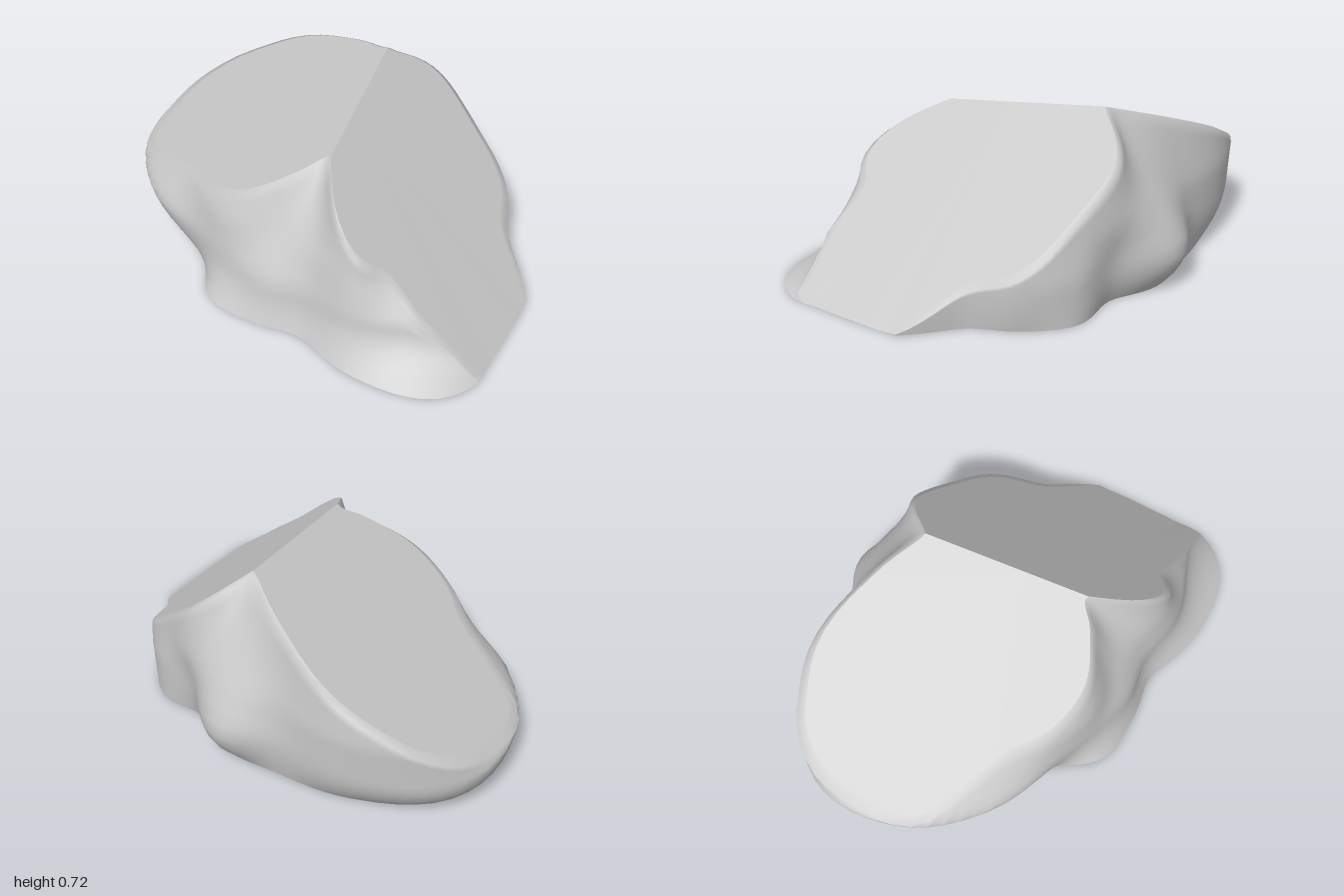
import * as THREE from 'three';

const STEP = 6;            // columns between two given radii
const COLUMNS = 18 * STEP;
const RINGS = 14;
const FRONT_RIDGE = 3 * STEP, BACK_RIDGE = 12 * STEP;
const CX = 0.104;          // the vertical axis passes through the ridge

// the two cleaved planes; the model's right is -x
const rightPlane = (x, z) => 0.635 + 0.373 * x - 0.349 * z;
const leftPlane = (x, z) => 0.757 - 0.8 * x + 0.328 * z;

// radius of the uncut boulder every 20 degrees, turning from +x towards +z
const LEVELS = [
  { y: 0, r: [.88, .92, .76, .59, .61, .66, .62, .71, .95, .985, .85, .71, .65, .56, .64, .63, .63, .8] },
  { y: .19, r: [.88, .74, .65, .54, .56, .585, .66, .85, 1.03, 1.104, .94, .74, .75, .6, .64, .65, .64, .82] },
  { y: .35, r: [.88, .61, .6, .48, .46, .55, .61, .66, .79, 1.08, .95, .72, .67, .62, .61, .64, .64, .82] },
  { y: .6, r: [.8, .58, .55, .3, .33, .42, .46, .5, .74, 1, .91, .63, .51, .58, .58, .61, .63, .8] },
];

// smooth closed curve through the radii of one level
function levelRadius(r, column) {
  const k = Math.floor(column / STEP), f = column / STEP - k;
  const [a, b, c, d] = [-1, 0, 1, 2].map((o) => r[(k + o + r.length) % r.length]);
  return b + f / 2 * (c - a + f * (2 * a - 5 * b + 4 * c - d + f * (3 * (b - c) + d - a)));
}

function radius(column, y) {
  const k = y < LEVELS[1].y ? 0 : y < LEVELS[2].y ? 1 : 2;
  const low = LEVELS[k], high = LEVELS[k + 1];
  const f = (y - low.y) / (high.y - low.y);
  // the foot curves quickly into the belly
  const eased = k === 0 ? f * (2 - f) : f;
  return THREE.MathUtils.lerp(levelRadius(low.r, column), levelRadius(high.r, column), eased);
}

function point(column, r, y) {
  const t = column / COLUMNS * Math.PI * 2;
  return [CX + r * Math.cos(t), y, r * Math.sin(t)];
}

const peak = [CX, rightPlane(CX, 0), 0];
const cutHeight = ([x, , z]) => Math.min(leftPlane(x, z), rightPlane(x, z));

// one column of the flank, rising until it meets a cleaved plane
function flankColumn(i) {
  let low = 0, high = 0.8;
  for (let n = 0; n < 30; n++) {
    const mid = (low + high) / 2;
    if (cutHeight(point(i, radius(i, mid), mid)) > mid) low = mid;
    else high = mid;
  }
  // where the plane reaches the ground first, pull the edge in to it
  let shrink = 1;
  while (cutHeight(point(i, radius(i, 0) * shrink, 0)) < 0) shrink -= 0.005;
  const column = Array.from({ length: RINGS }, (_, j) => {
    const y = low * 0.975 * j / (RINGS - 1);
    return point(i, radius(i, y) * shrink, y);
  });
  // worn edge: the last point lies a little way in on the cleaved plane
  const edge = point(i, radius(i, low) * shrink, low);
  column.push(edge.map((v, k) => THREE.MathUtils.lerp(v, peak[k], 0.04)));
  return column;
}

function geometry(positions, index) {
  const g = new THREE.BufferGeometry();
  g.setAttribute('position', new THREE.Float32BufferAttribute(positions, 3));
  g.setIndex(index);
  g.computeVertexNormals();
  return g;
}

// flat fan of triangles from a centre to a run of points
function fan(centre, points, up) {
  const index = [];
  for (let i = 1; i < points.length; i++) index.push(0, up ? i + 1 : i, up ? i : i + 1);
  return geometry([centre, ...points].flat(), index);
}

export function createModel() {
  const stone = new THREE.MeshStandardMaterial({ color: 0xc8c8c8 });
  stone.name = 'grey stone';
  const group = new THREE.Group();
  group.name = 'boulder';
  const add = (name, geo) => {
    const mesh = new THREE.Mesh(geo, stone);
    mesh.name = name;
    group.add(mesh);
  };

  // weathered flank
  const columns = Array.from({ length: COLUMNS }, (_, i) => flankColumn(i));
  const index = [], row = RINGS + 1;
  for (let i = 0; i < COLUMNS; i++) {
    for (let j = 0; j < RINGS; j++) {
      const a = i * row + j, b = ((i + 1) % COLUMNS) * row + j;
      index.push(a, a + 1, b, b, a + 1, b + 1);
    }
  }
  add('flank', geometry(columns.flat(2), index));

  // two cleaved faces meeting at the ridge
  const rim = (from, to) =>
    Array.from({ length: to - from + 1 }, (_, i) => columns[(from + i) % COLUMNS][RINGS]);
  add('rightCleavedFace', fan(peak, rim(FRONT_RIDGE, BACK_RIDGE), true));
  add('leftCleavedFace', fan(peak, rim(BACK_RIDGE, FRONT_RIDGE + COLUMNS), true));

  // flat underside
  const foot = columns.map((c) => c[0]);
  add('underside', fan([CX, 0, 0], [...foot, foot[0]], false));
  return group;
}
